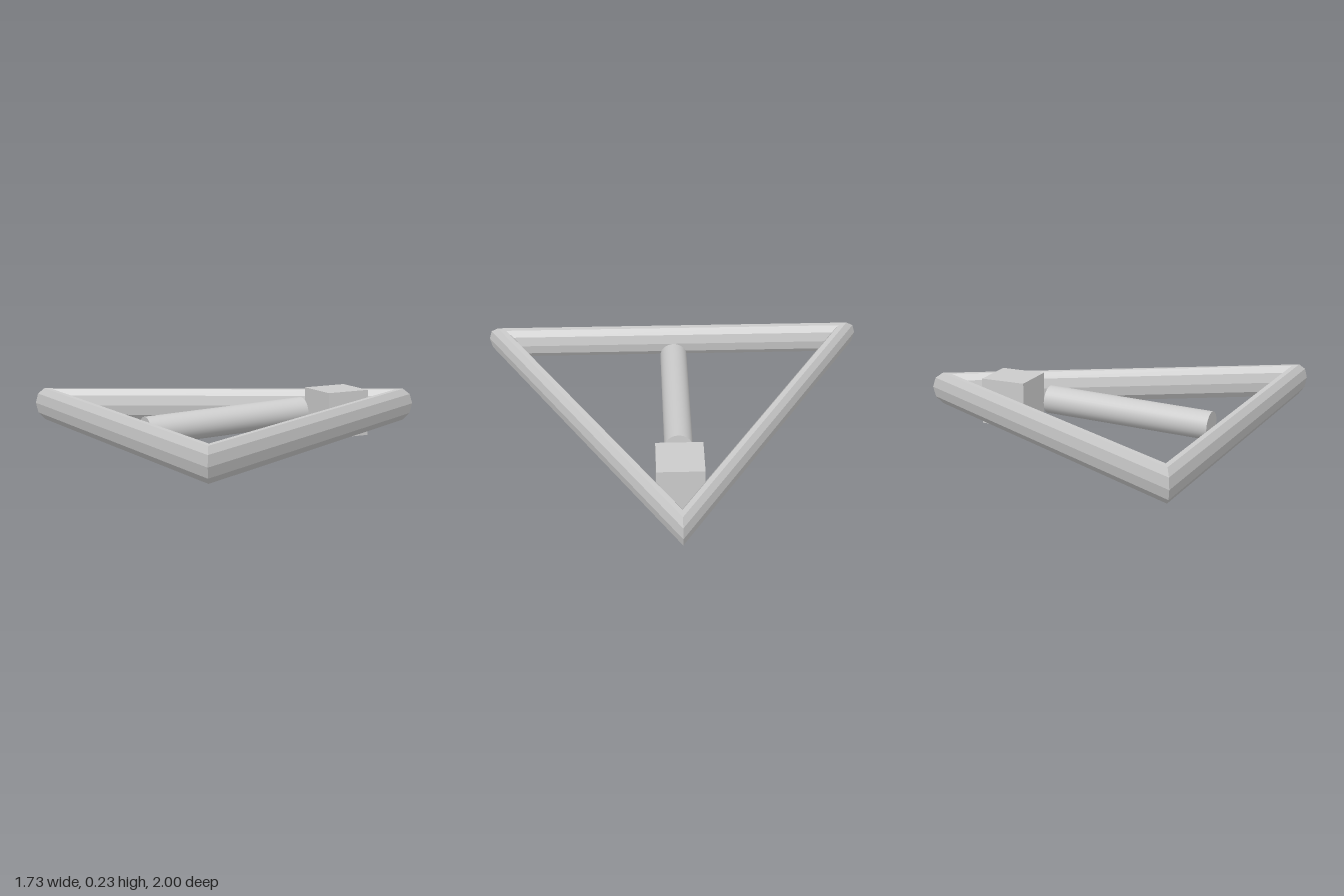
import * as THREE from 'three';

export function createModel() {
  const group = new THREE.Group();
  const flat = new THREE.MeshStandardMaterial({ color: 0xcccccc, flatShading: true });
  const smooth = new THREE.MeshStandardMaterial({ color: 0xcccccc });

  const add = (name, geometry, material, x, y, z) => {
    const mesh = new THREE.Mesh(geometry, material);
    mesh.name = name;
    mesh.position.set(x, y, z);
    group.add(mesh);
    return mesh;
  };

  // Triangular frame: a three-sided ring lying flat, apex towards +x
  const frame = add('triangleFrame', new THREE.TorusGeometry(1.068, 0.0867, 10, 3), flat, -0.289, 0.12, 0);
  frame.rotation.x = -Math.PI / 2;

  // Rod of the exclamation mark, tipped up very slightly towards the apex
  const rod = add('markRod', new THREE.CylinderGeometry(0.071, 0.071, 0.872, 32), smooth, -0.253, 0.12, 0);
  rod.rotation.z = -Math.PI / 2 + 0.035;

  // Cube forming the dot of the mark
  add('markDot', new THREE.BoxGeometry(0.234, 0.234, 0.234), flat, 0.391, 0.117, 0);

  return group;
}
